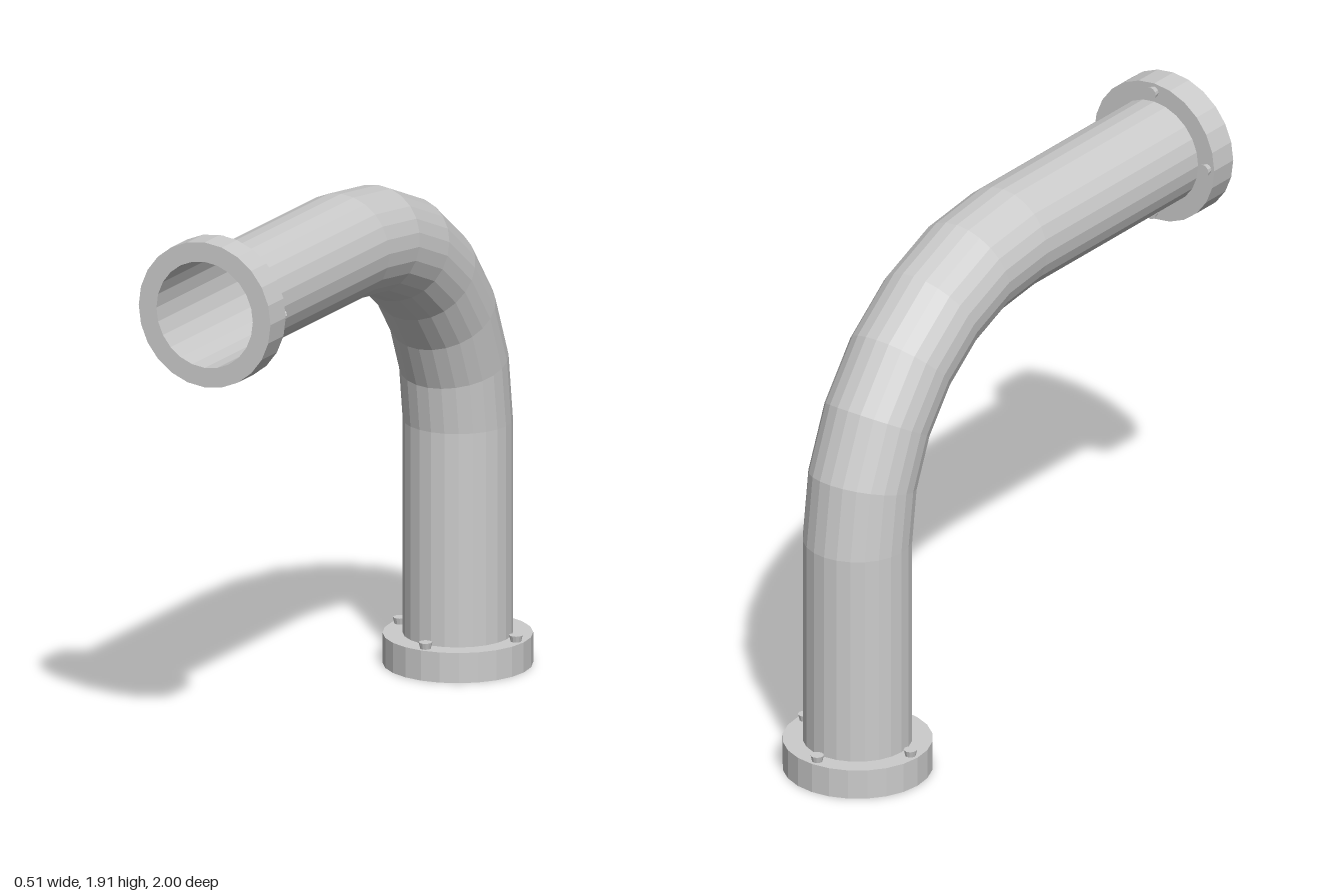
import * as THREE from 'three';

const SIDES = 24;
const PIPE_R = 0.185, FLANGE_R = 0.253, FLANGE_H = 0.105;
const BEND_R = 0.805, BEND_Y = 0.85, BEND_Z = 0.06, BEND_STEPS = 6;

const grey = new THREE.MeshStandardMaterial({ color: 0xcccccc, flatShading: true, side: THREE.DoubleSide });

function mesh(name, geometry) {
  const m = new THREE.Mesh(geometry, grey);
  m.name = name;
  return m;
}

// Open pipe: rings swept up the riser, round the quarter bend and along the arm
function pipeGeometry() {
  const rings = [{ y: 0, z: BEND_Z - BEND_R, t: 0 }];
  for (let i = 0; i <= BEND_STEPS; i++) {
    const t = (i / BEND_STEPS) * Math.PI / 2;
    rings.push({ y: BEND_Y + BEND_R * Math.sin(t), z: BEND_Z - BEND_R * Math.cos(t), t });
  }
  rings.push({ y: BEND_Y + BEND_R, z: 1, t: Math.PI / 2 });

  const positions = [], index = [];
  rings.forEach(({ y, z, t }, i) => {
    for (let j = 0; j < SIDES; j++) {
      const a = (j / SIDES) * Math.PI * 2;
      const out = PIPE_R * Math.sin(a);
      positions.push(PIPE_R * Math.cos(a), y + out * Math.sin(t), z - out * Math.cos(t));
      if (i === 0) continue;
      const k = (j + 1) % SIDES, lo = (i - 1) * SIDES, hi = i * SIDES;
      index.push(lo + j, lo + k, hi + k, lo + j, hi + k, hi + j);
    }
  });
  const g = new THREE.BufferGeometry();
  g.setAttribute('position', new THREE.Float32BufferAttribute(positions, 3));
  g.setIndex(index);
  g.computeVertexNormals();
  return g;
}

// Ring flange with four bolts on the side facing the pipe (local +y)
function flange(name) {
  const group = new THREE.Group();
  group.name = name;
  const profile = [[PIPE_R, 0], [FLANGE_R, 0], [FLANGE_R, FLANGE_H], [PIPE_R, FLANGE_H]]
    .map(([x, y]) => new THREE.Vector2(x, y));
  group.add(mesh('flangeRing', new THREE.LatheGeometry(profile, SIDES)));

  const boltGeometry = new THREE.CylinderGeometry(0.023, 0.016, 0.03, 12);
  for (let i = 0; i < 4; i++) {
    const a = i * Math.PI / 2;
    const bolt = mesh('bolt', boltGeometry);
    bolt.position.set(0.223 * Math.cos(a), FLANGE_H + 0.007, 0.223 * Math.sin(a));
    group.add(bolt);
  }
  return group;
}

export function createModel() {
  const model = new THREE.Group();
  model.name = 'pipeElbow';
  model.add(mesh('pipe', pipeGeometry()));

  const base = flange('baseFlange');
  base.position.z = BEND_Z - BEND_R;
  model.add(base);

  const front = flange('frontFlange');
  front.rotation.x = -Math.PI / 2;
  front.position.set(0, BEND_Y + BEND_R, 1);
  model.add(front);
  return model;
}
